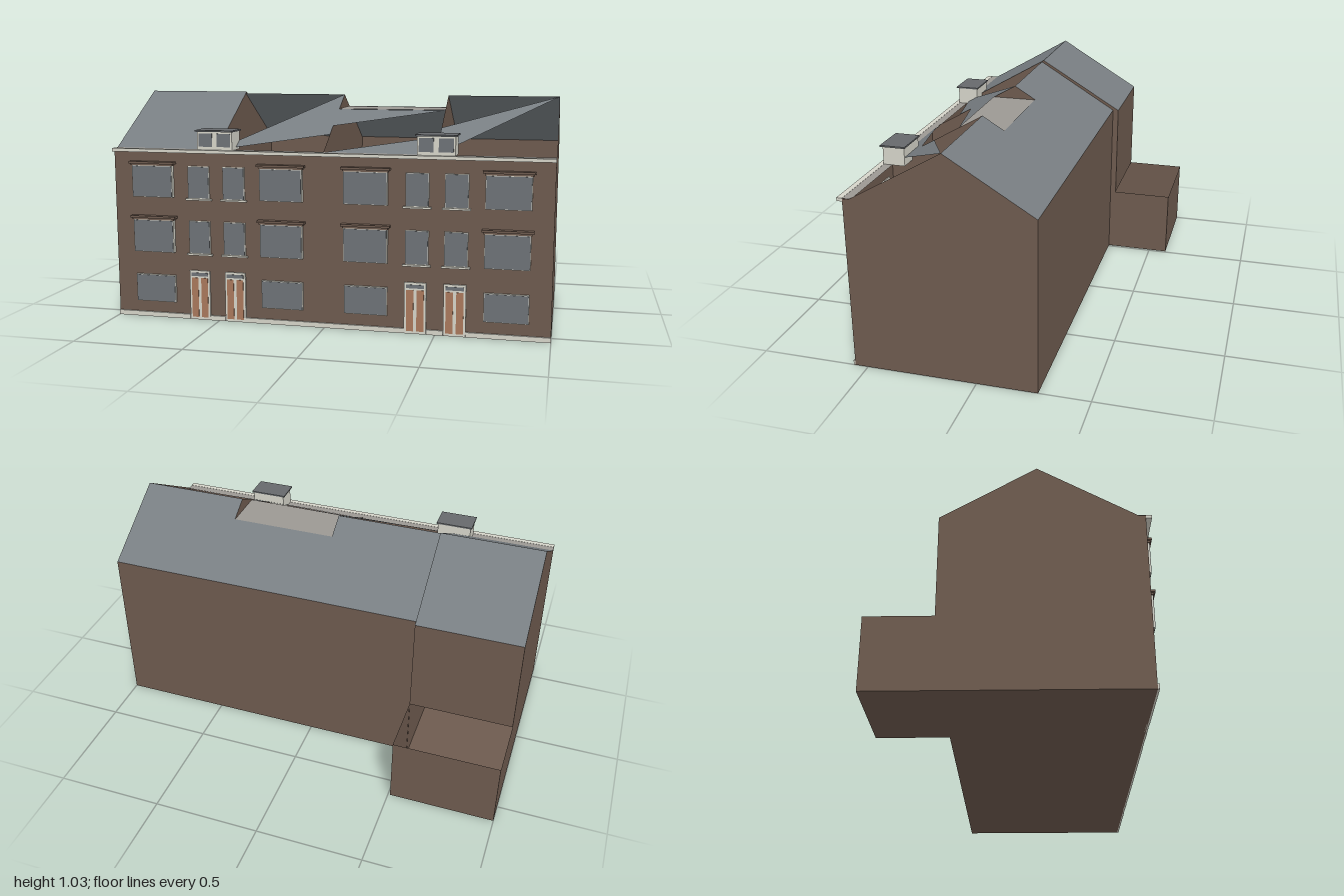
import * as THREE from 'three';

const mat = (name, color, side = THREE.FrontSide) => {
  const m = new THREE.MeshStandardMaterial({ color, side });
  m.name = name;
  return m;
};

export function createModel() {
  const brick = mat('brick', 0x6e5b4f, THREE.DoubleSide);
  const slate = mat('slate', 0x787e82, THREE.DoubleSide);
  const flat = mat('flat roof', 0x9c9893, THREE.DoubleSide);
  const trim = mat('pale trim', 0xd6d5ca);
  const glass = mat('glass', 0x6e7277);
  const wood = mat('door wood', 0xa9795c);
  const dark = mat('dark lead', 0x66696c);
  const root = new THREE.Group();

  // convex sheet from corner points, fanned from the first
  function sheet(name, pts, material, parent = root) {
    const pos = [];
    for (let i = 1; i < pts.length - 1; i++) pos.push(...pts[0], ...pts[i], ...pts[i + 1]);
    const g = new THREE.BufferGeometry();
    g.setAttribute('position', new THREE.Float32BufferAttribute(pos, 3));
    g.computeVertexNormals();
    const m = new THREE.Mesh(g, material);
    m.name = name;
    parent.add(m);
  }
  // box given by its limits
  function box(name, x0, x1, y0, y1, z0, z1, material, parent = root) {
    const m = new THREE.Mesh(new THREE.BoxGeometry(x1 - x0, y1 - y0, z1 - z0), material);
    m.position.set((x0 + x1) / 2, (y0 + y1) / 2, (z0 + z1) / 2);
    m.name = name;
    parent.add(m);
  }

  const F = 0.56, EF = 0.53, EY = 0.79;
  const endHouse = { back: -0.3, rz: 0.11, ry: 1.035 };
  const terrace = { back: -0.272, rz: 0.12, ry: 1.027 };
  const X = [-1, -0.51, -0.01, 0.49, 1];

  // gable and party walls
  const gable = (name, x, p) => sheet(name,
    [[x, EY, EF], [x, p.ry, p.rz], [x, EY, p.back], [x, 0, p.back], [x, 0, F], [x, EY, F]], brick);
  gable('endGableWall', X[0], endHouse);
  gable('endPartyWall', X[1] - 0.001, endHouse);
  for (let i = 1; i < 5; i++) gable(i < 4 ? 'partyWall' : 'gableWall', X[i], terrace);

  // long walls and ground slab
  const wall = (name, x0, x1, y0, y1, z) => sheet(name,
    [[x0, y0, z], [x1, y0, z], [x1, y1, z], [x0, y1, z]], brick);
  wall('frontWall', -1, 1, 0, EY, F);
  wall('terraceBackWall', X[1], 1, 0, EY, terrace.back);
  wall('endHouseBackWall', X[0], X[1], 0.325, EY, endHouse.back);
  const floor = (x0, x1, z0, z1) => sheet('floor',
    [[x0, 0, z0], [x1, 0, z0], [x1, 0, z1], [x0, 0, z1]], brick);
  floor(X[0], X[1], -0.59, F);
  floor(X[1], 1, terrace.back, F);

  // open-topped rear extension
  wall('extensionBackWall', X[0], X[1], 0, 0.325, -0.59);
  for (const x of [X[0], X[1]]) sheet('extensionSideWall',
    [[x, 0, -0.59], [x, 0, -0.3], [x, 0.325, -0.3], [x, 0.325, -0.59]], brick);

  // roof points are (x, z) pairs lifted on to the slope
  const lift = (p, [x, z]) => {
    const eave = z > p.rz ? EF : p.back;
    return [x, EY + (p.ry - EY) * (z - eave) / (p.rz - eave), z];
  };
  const slope = (name, p, pts) => sheet(name, pts.map(q => lift(p, q)), slate);
  const strip = (name, p, x0, x1, z0, z1) => slope(name, p, [[x0, z0], [x1, z0], [x1, z1], [x0, z1]]);
  strip('endFrontSlope', endHouse, X[0], X[1], endHouse.rz, EF);
  strip('endBackSlope', endHouse, X[0], X[1], endHouse.back, endHouse.rz);
  for (const [a, b, z] of [[1, 2, terrace.rz], [2, 3, 0.02], [3, 4, terrace.rz]])
    strip('backSlope', terrace, X[a], X[b], terrace.back, z);

  // surviving pieces of the open front slope
  const pieces = [
    [[X[1], EF], [X[2], 0.41], [X[2], 0.12]],
    [[X[2], 0.23], [X[2], 0.35], [X[3], 0.23]],
    [[X[2], EF], [X[3], EF], [X[3], 0.41]],
    [[X[3], 0.35], [X[3], EF], [X[4], 0.12]],
  ];
  pieces.forEach(p => slope('frontSlopePiece', terrace, p));

  // flat cap where the ridge is cut off
  sheet('flatRoof', [[X[2], 0.965, 0.02], [X[2], 0.965, 0.23],
    [X[3], 0.965, 0.23], [X[3], 0.965, 0.02]], flat);

  // eaves
  sheet('gutterBed', [[-1, 0.791, EF - 0.01], [-1, 0.791, F], [1, 0.791, F], [1, 0.791, EF - 0.01]], flat);
  box('cornice', -1, 1, 0.777, 0.792, F, 0.585, trim);

  // plinth between the doors
  const doors = [-0.592, -0.42, 0.412, 0.586];
  const stops = [-1, ...doors.flatMap(x => [x - 0.05, x + 0.05]), 1];
  for (let i = 0; i < stops.length; i += 2)
    box('plinth', stops[i], stops[i + 1], 0, 0.022, F, 0.568, trim);

  // windows: pale frame, glass face, optional hood and sill
  function windowUnit(cx, w, y0, y1, depth, hood, sill) {
    const g = new THREE.Group();
    g.name = 'window';
    const a = cx - w / 2, b = cx + w / 2, z = F + depth;
    box('windowFrame', a, b, y0, y1, F - 0.005, z, trim, g);
    box('windowPane', a + 0.003, b - 0.003, y0 + 0.003, y1 - 0.003, z, z + 0.002, glass, g);
    if (hood) {
      box('windowHood', a - 0.012, b + 0.012, y1 + 0.008, y1 + 0.018, F, 0.59, brick, g);
      box('windowHoodBase', a - 0.004, b + 0.004, y1, y1 + 0.008, F, 0.584, brick, g);
    }
    if (sill) box('windowSill', a - 0.01, b + 0.01, y0 - 0.008, y0, F, 0.574, trim, g);
    root.add(g);
  }
  for (const cx of [-0.808, -0.195, 0.19, 0.808]) {
    windowUnit(cx, 0.196, 0.57, 0.716, 0.02, true, false);
    windowUnit(cx, 0.196, 0.313, 0.464, 0.02, true, false);
    windowUnit(cx, 0.194, 0.075, 0.203, 0.01, false, false);
  }
  for (const cx of [-0.588, -0.42, 0.417, 0.588]) {
    windowUnit(cx, 0.103, 0.568, 0.716, 0.006, false, true);
    windowUnit(cx, 0.103, 0.312, 0.464, 0.006, false, true);
  }

  // doors
  for (const cx of doors) {
    const g = new THREE.Group();
    g.name = 'door';
    box('doorFrame', cx - 0.049, cx + 0.049, 0, 0.232, F - 0.005, 0.567, trim, g);
    for (const s of [-1, 1])
      box('doorLeaf', cx + s * 0.023 - 0.016, cx + s * 0.023 + 0.016, 0.012, 0.198, 0.566, 0.569, wood, g);
    box('transomLight', cx - 0.04, cx + 0.04, 0.206, 0.222, 0.566, 0.569, glass, g);
    root.add(g);
  }

  // dormers
  for (const cx of [-0.508, 0.496]) {
    const g = new THREE.Group();
    g.name = 'dormer';
    box('dormerBody', cx - 0.083, cx + 0.083, 0.79, 0.874, 0.46, 0.562, trim, g);
    box('dormerRoof', cx - 0.09, cx + 0.09, 0.874, 0.881, 0.455, 0.573, dark, g);
    for (const s of [-1, 1])
      box('dormerPane', cx + s * 0.043 - 0.032, cx + s * 0.043 + 0.032, 0.806, 0.866, 0.561, 0.564, glass, g);
    root.add(g);
  }
  return root;
}
